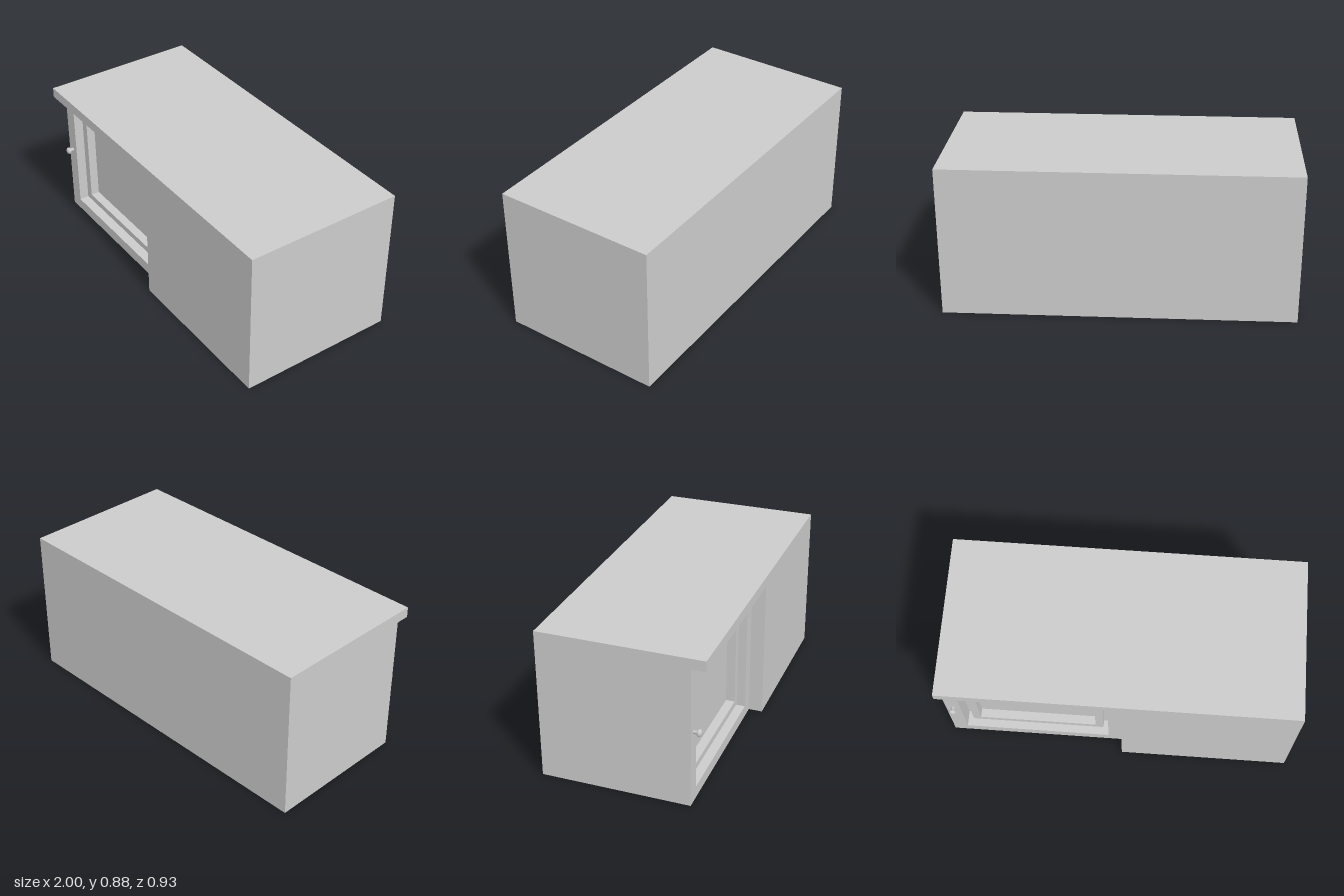
import * as THREE from 'three';

const mat = new THREE.MeshStandardMaterial({ color: 0xcccccc });

function add(group, name, geometry) {
  const mesh = new THREE.Mesh(geometry, mat);
  mesh.name = name;
  group.add(mesh);
  return mesh;
}

// Box given by its minimum and maximum corners
function box(x0, y0, z0, x1, y1, z1) {
  return new THREE.BoxGeometry(x1 - x0, y1 - y0, z1 - z0)
    .translate((x0 + x1) / 2, (y0 + y1) / 2, (z0 + z1) / 2);
}

function rect(Type, x0, y0, x1, y1) {
  return new Type([[x0, y0], [x1, y0], [x1, y1], [x0, y1]].map(([x, y]) => new THREE.Vector2(x, y)));
}

// Rectangular frame with a rectangular opening, from z0 to z1
function frame(outer, inner, z0, z1) {
  const shape = rect(THREE.Shape, ...outer);
  shape.holes.push(rect(THREE.Path, ...inner));
  return new THREE.ExtrudeGeometry(shape, { depth: z1 - z0, bevelEnabled: false }).translate(0, 0, z0);
}

export function createModel() {
  const g = new THREE.Group();
  g.name = 'cabinet';
  const D = 0.465, H = 0.875, topY = 0.815, split = 0.02;
  const doorZ = 0.385, panelZ = 0.295;

  // Worktop over the full width, with the plain block on one side
  add(g, 'worktop', box(-1, topY, -D, 1, H, D));
  add(g, 'plainBlock', box(split, 0, -D, 1, topY, D));

  // Set-back door side: carcass, door frame, and moulding inside the opening
  add(g, 'carcass', box(-1, 0, -D, split, topY, panelZ));
  add(g, 'doorFrame', frame([-1, 0, split, topY], [-0.917, 0.068, -0.065, 0.745], panelZ, doorZ));
  add(g, 'panelMoulding', frame([-0.88, 0.1, -0.098, 0.72], [-0.833, 0.138, -0.145, 0.682], panelZ, 0.347));

  // Turned door knob
  const profile = [[0.01, 0], [0.01, 0.018], [0.02, 0.024], [0.021, 0.034], [0.015, 0.042], [0, 0.045]];
  const knob = add(g, 'doorKnob', new THREE.LatheGeometry(profile.map(p => new THREE.Vector2(...p)), 16));
  knob.rotation.x = Math.PI / 2;
  knob.position.set(-0.957, 0.43, doorZ);

  return g;
}
